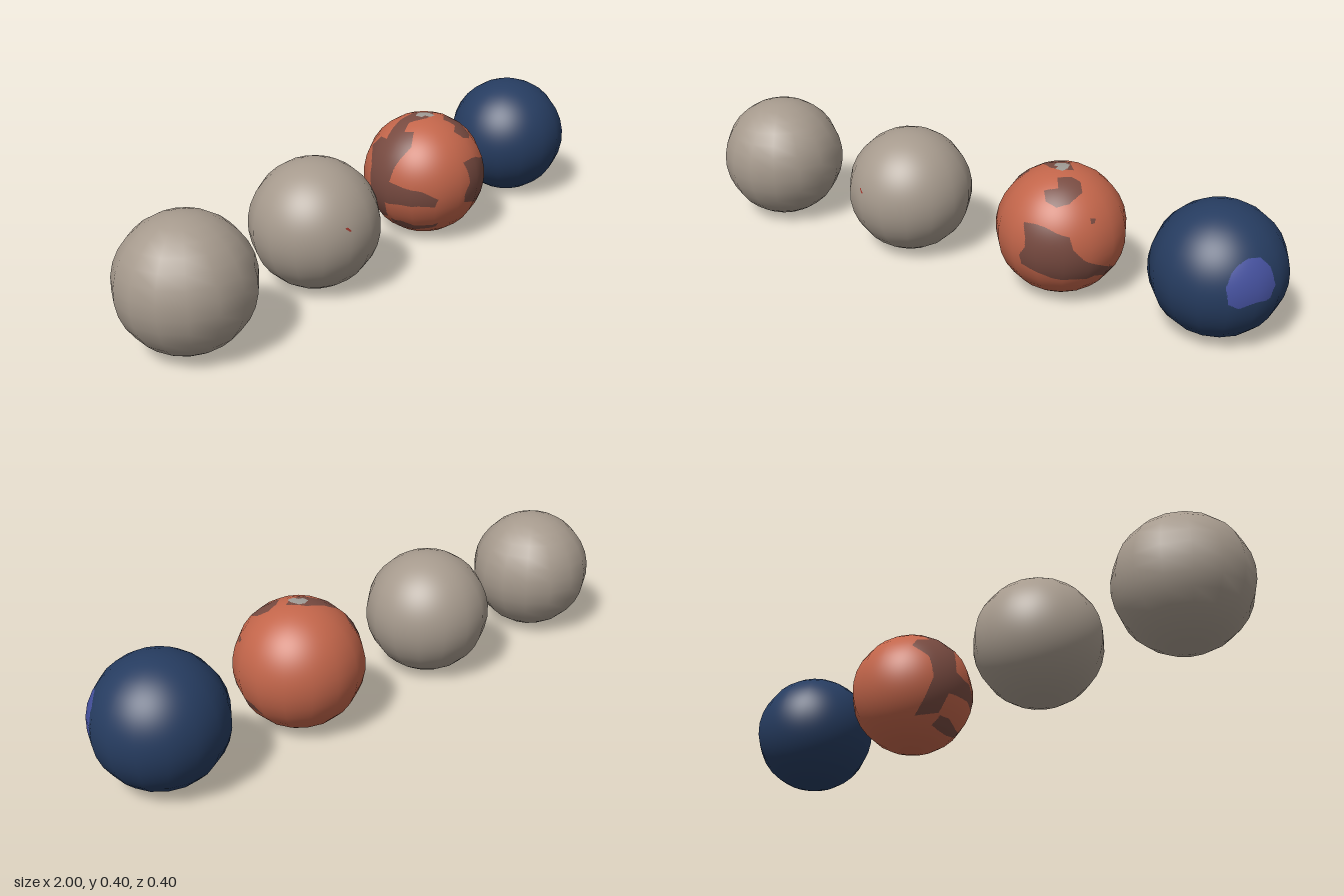
import * as THREE from 'three';

const R = 0.202, SIDES = 15;
const mat = (name, color) => new THREE.MeshStandardMaterial({ name, color });

// A patch is an outline of directions on the unit sphere, flattened around its centre
function makePatch(outline) {
  const dirs = outline.map((p) => new THREE.Vector3(...p).normalize());
  const c = dirs.reduce((s, d) => s.add(d), new THREE.Vector3()).normalize();
  const a = new THREE.Vector3(0.31, 0.2, 0.93).cross(c).normalize();
  const b = c.clone().cross(a);
  const flat = (d) => {
    const k = 1 / (1.001 + d.dot(c));
    return [d.dot(a) * k, d.dot(b) * k];
  };
  const poly = dirs.map(flat);
  return (d) => {
    const [x, y] = flat(d);
    let inside = false;
    for (let i = 0, j = poly.length - 1; i < poly.length; j = i++) {
      const [xi, yi] = poly[i], [xj, yj] = poly[j];
      if ((yi > y) !== (yj > y) && x < ((xj - xi) * (y - yi)) / (yj - yi) + xi) inside = !inside;
    }
    return inside;
  };
}

// Splits the faceted sphere along patch borders; patches: [{ index, test }], first hit wins
function paintedSphere(patches, materialCount) {
  const src = new THREE.SphereGeometry(R, SIDES, SIDES).toNonIndexed();
  const p = src.attributes.position, n = src.attributes.normal;
  const buckets = Array.from({ length: materialCount }, () => ({ pos: [], nor: [] }));
  const classify = (d) => (patches.find((q) => q.test(d)) || { index: 0 }).index;
  const vert = (pos, nor) => ({ pos, nor, k: classify(pos.clone().normalize()) });
  const mid = (u, v) => vert(u.pos.clone().lerp(v.pos, 0.5), u.nor.clone().lerp(v.nor, 0.5));

  function split(a, b, c, depth) {
    const same = a.k === b.k && b.k === c.k;
    if (depth < 3 || (!same && depth < 5)) {
      const ab = mid(a, b), bc = mid(b, c), ca = mid(c, a);
      split(a, ab, ca, depth + 1);
      split(ab, b, bc, depth + 1);
      split(ca, bc, c, depth + 1);
      split(ab, bc, ca, depth + 1);
      return;
    }
    const centre = a.pos.clone().add(b.pos).add(c.pos).normalize();
    const out = buckets[same ? a.k : classify(centre)];
    for (const v of [a, b, c]) {
      out.pos.push(...v.pos.toArray());
      out.nor.push(...v.nor.clone().normalize().toArray());
    }
  }
  for (let i = 0; i < p.count; i += 3) {
    const [a, b, c] = [0, 1, 2].map((j) => vert(
      new THREE.Vector3().fromBufferAttribute(p, i + j),
      new THREE.Vector3().fromBufferAttribute(n, i + j)));
    split(a, b, c, 0);
  }

  const geo = new THREE.BufferGeometry();
  const pos = [], nor = [];
  buckets.forEach((bk, i) => {
    geo.addGroup(pos.length / 3, bk.pos.length / 3, i);
    for (const v of bk.pos) pos.push(v);
    for (const v of bk.nor) nor.push(v);
  });
  geo.setAttribute('position', new THREE.Float32BufferAttribute(pos, 3));
  geo.setAttribute('normal', new THREE.Float32BufferAttribute(nor, 3));
  return geo;
}

// Outline points seen from the front (x, y) or the +x side (z, y), in sphere radii
const depthOf = (u, v) => Math.sqrt(Math.max(0, 1 - u * u - v * v));
const fromFront = (pts) => pts.map(([x, y]) => [x, y, depthOf(x, y)]);
const fromSide = (pts) => pts.map(([z, y]) => [depthOf(z, y), y, z]);
const fromTop = (pts) => pts.map(([x, z]) => [x, depthOf(x, z), z]);

export function createModel() {
  const group = new THREE.Group();
  const stone = mat('stoneGrey', 0xa69a8d);
  const scratchRed = mat('scratchRed', 0xa03a30);
  const rust = mat('rustRed', 0xc2654a);
  const brown = mat('darkBrown', 0x774a40);
  const ice = mat('iceGrey', 0xa09c96);
  const navy = mat('navyBlue', 0x263c60);
  const violet = mat('violetBlue', 0x4652a0);

  const place = (name, x, geometry, material) => {
    const mesh = new THREE.Mesh(geometry, material);
    mesh.name = name;
    mesh.position.set(x, R, 0);
    group.add(mesh);
  };

  // Plain stone planet
  place('greyPlanet', -0.799, new THREE.SphereGeometry(R, SIDES, SIDES), stone);

  // Stone planet with a tiny red scratch
  const scratch = fromFront([[-0.37, 0.25], [-0.32, 0.25], [-0.28, 0.2], [-0.28, 0.17], [-0.33, 0.21]]);
  place('scratchedPlanet', -0.265, paintedSphere([{ index: 1, test: makePatch(scratch) }], 2), [stone, scratchRed]);

  // Rust planet: polar cap and dark lowlands
  const cap = fromTop([[-0.14, -0.08], [-0.03, -0.13], [0.06, -0.1], [0.1, 0.03],
    [0.07, 0.15], [-0.05, 0.14], [-0.06, 0.05], [-0.14, 0.04]]);
  const frontLowland = [
    ...fromFront([[-0.16, 0.4], [0.05, 0.42], [0.2, 0.4], [0.38, 0.33], [0.55, 0.28], [0.62, 0.08], [0.74, -0.1]]),
    [0.9, -0.34, 0.2], [0.9, -0.43, 0.01], [0.83, -0.53, -0.1], [0.81, -0.58, -0.08], [0.81, -0.5, 0.2], [0.78, -0.46, 0.38],
    ...fromFront([[0.5, -0.46], [0.3, -0.44], [0.1, -0.34], [-0.16, -0.28], [-0.19, -0.12], [-0.08, 0.05], [-0.1, 0.22]]),
  ];
  const northLowland = fromTop([[0.08, 0.32], [0.24, 0.2], [0.4, 0.19], [0.5, 0.33],
    [0.42, 0.58], [0.28, 0.7], [0.1, 0.7], [0, 0.58], [0.18, 0.48]]);
  const westLowland = [
    [0, 0.97, -0.21], [0.2, 0.98, 0.03], [0.04, 0.99, 0.13], [-0.15, 0.98, 0.13], [-0.36, 0.93, -0.05],
    [-0.55, 0.83, 0], [-0.5, 0.85, 0.15], [-0.7, 0.67, 0.25], [-0.9, 0.4, 0.1], [-0.99, 0.11, 0.03],
    [-0.96, 0.05, 0.27], [-0.82, 0, 0.57], [-0.64, -0.13, 0.76], [-0.66, -0.27, 0.7], [-0.93, -0.27, 0.2],
    [-0.95, -0.29, -0.09], [-0.78, -0.6, -0.15], [-0.56, -0.68, -0.47], [-0.91, -0.09, -0.4],
    [-0.85, 0.28, -0.44], [-0.62, 0.5, -0.61], [-0.58, 0.67, -0.46], [-0.67, 0.69, -0.27], [-0.36, 0.89, -0.29],
  ];
  const southLowland = [[-0.77, -0.62, 0.1], [-0.62, -0.68, 0.38], [-0.45, -0.63, 0.63],
    [-0.42, -0.72, 0.55], [-0.54, -0.8, 0.25], [-0.62, -0.76, -0.15], [-0.77, -0.62, -0.1]];
  const spot = [[0.72, 0.5, 0.48], [0.78, 0.49, 0.4], [0.79, 0.43, 0.44], [0.75, 0.43, 0.5]];
  const lowlands = [frontLowland, northLowland, westLowland, southLowland, spot]
    .map((o) => ({ index: 1, test: makePatch(o) }));
  place('rustPlanet', 0.294,
    paintedSphere([{ index: 2, test: makePatch(cap) }, ...lowlands], 3), [rust, brown, ice]);

  // Navy planet with one violet storm
  const storm = fromSide([[0.115, 0.313], [0.085, 0.31], [0.065, 0.28], [0.06, 0.225], [0.075, 0.188],
    [0.09, 0.184], [0.12, 0.19], [0.155, 0.172], [0.175, 0.19], [0.177, 0.24], [0.16, 0.28], [0.14, 0.3]]
    .map(([z, y]) => [z / R, (y - R) / R]));
  place('navyPlanet', 0.8035, paintedSphere([{ index: 1, test: makePatch(storm) }], 2), [navy, violet]);

  return group;
}
